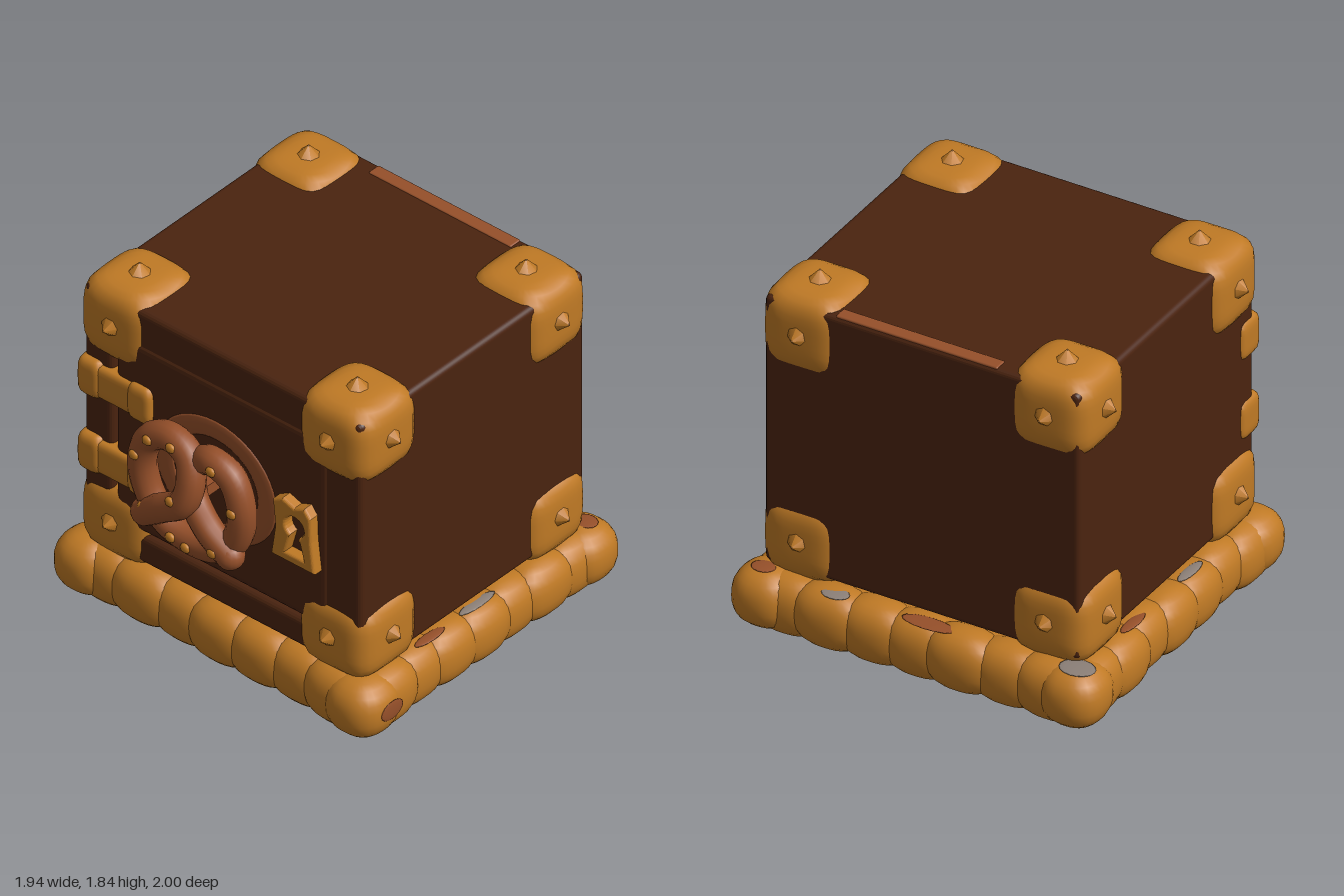
import * as THREE from 'three';
import { mergeVertices } from 'three/addons/utils/BufferGeometryUtils.js';
import { RoundedBoxGeometry } from 'three/addons/geometries/RoundedBoxGeometry.js';

const mat = (name, color) => {
  const m = new THREE.MeshStandardMaterial({ color });
  m.name = name;
  return m;
};

// Sphere pushed towards a box: higher power gives squarer sides
function blobGeometry(hx, hy, hz, power, detail = 20) {
  const g = new THREE.SphereGeometry(1, detail * 2, detail);
  const p = g.attributes.position;
  for (let i = 0; i < p.count; i++) {
    const x = p.getX(i), y = p.getY(i), z = p.getZ(i);
    const sum = Math.abs(x) ** power + Math.abs(y) ** power + Math.abs(z) ** power;
    const k = 1 / sum ** (1 / power);
    p.setXYZ(i, x * k * hx, y * k * hy, z * k * hz);
  }
  g.deleteAttribute('uv');
  g.deleteAttribute('normal');
  const merged = mergeVertices(g, 1e-5);
  merged.computeVertexNormals();
  return merged;
}

// Rounded rectangle outline, as a Shape or a hole Path
function roundRect(Type, x0, y0, x1, y1, r) {
  const s = new Type();
  s.absarc(x1 - r, y0 + r, r, -Math.PI / 2, 0, false);
  s.absarc(x1 - r, y1 - r, r, 0, Math.PI / 2, false);
  s.absarc(x0 + r, y1 - r, r, Math.PI / 2, Math.PI, false);
  s.absarc(x0 + r, y0 + r, r, Math.PI, Math.PI * 1.5, false);
  s.closePath();
  return s;
}

// Extrusion between two z values with a bevel kept inside the outline
function slab(shape, z0, z1, bevel) {
  const g = new THREE.ExtrudeGeometry(shape, {
    depth: z1 - z0 - 2 * bevel, bevelEnabled: true, bevelSize: bevel, bevelThickness: bevel,
    bevelOffset: -bevel, bevelSegments: 4, curveSegments: 10,
  });
  g.translate(0, 0, z0 + bevel);
  return g;
}

export function createModel() {
  const root = new THREE.Group();
  root.name = 'cookieSafe';
  const chocolate = mat('chocolate', 0x4a230f);
  const cookie = mat('cookie', 0xc07a25);
  const crust = mat('crust', 0x96502a);
  const sugar = mat('greySugar', 0x8c8078);

  const add = (name, geometry, material, x = 0, y = 0, z = 0, parent = root) => {
    const m = new THREE.Mesh(geometry, material);
    m.name = name;
    m.position.set(x, y, z);
    parent.add(m);
    return m;
  };

  // Safe body with a raised frame around the door opening
  add('body', slab(roundRect(THREE.Shape, -0.82, 0.325, 0.835, 1.745, 0.03), -0.83, 0.62, 0.025), chocolate);
  const frame = roundRect(THREE.Shape, -0.82, 0.325, 0.835, 1.745, 0.03);
  frame.holes.push(roundRect(THREE.Path, -0.65, 0.48, 0.675, 1.59, 0.15));
  add('doorFrame', slab(frame, 0.5, 0.705, 0.03), chocolate);
  add('door', slab(roundRect(THREE.Shape, -0.63, 0.5, 0.65, 1.57, 0.15), 0.55, 0.715, 0.045), chocolate);
  add('backIcingStrip', new RoundedBoxGeometry(0.85, 0.02, 0.07, 2, 0.008), crust, 0.04, 1.741, -0.785);

  // Cookie caps on all eight corners, each with studs on its outer faces
  const capGeo = blobGeometry(0.21, 0.205, 0.21, 4.5);
  const studGeo = new THREE.ConeGeometry(0.085, 0.09, 7, 1);
  studGeo.translate(0, 0.03, 0);
  const up = new THREE.Vector3(0, 1, 0);
  for (const sx of [-1, 1]) for (const sy of [-1, 1]) for (const sz of [-1, 1]) {
    const cap = new THREE.Group();
    cap.name = 'cornerCap';
    cap.position.set(sx * 0.65 + 0.005, sy > 0 ? 1.58 : 0.475, sz > 0 ? 0.52 : -0.64);
    root.add(cap);
    add('capBlob', capGeo, cookie, 0, 0, 0, cap);
    const dirs = [[sx, 0, 0], [0, 0, sz]];
    if (sy > 0) dirs.push([0, 1, 0]);
    for (const d of dirs) {
      const dir = new THREE.Vector3(...d);
      const stud = add('capStud', studGeo, cookie, d[0] * 0.185, d[1] * 0.185 + (d[1] ? 0 : 0.01), d[2] * 0.185, cap);
      stud.quaternion.setFromUnitVectors(up, dir);
    }
  }

  // Lumpy cookie base: filled slab, ring of dough lumps, larger corner lumps
  const X = 0.81, ZF = 0.665, ZB = -0.835, ZM = (ZF + ZB) / 2;
  add('baseSlab', new THREE.BoxGeometry(1.64, 0.26, 1.52), cookie, 0, 0.15, ZM);
  const lumpX = blobGeometry(0.2, 0.152, 0.13, 2.5, 14);
  const lumpZ = blobGeometry(0.13, 0.152, 0.2, 2.5, 14);
  const cornerLump = blobGeometry(0.158, 0.15, 0.158, 2.5, 14);
  for (let i = 0; i < 7; i++) {
    const t = (i - 3) / 3.5, wob = 0.012 * Math.sin(i * 2.3);
    add('baseLump', lumpX, cookie, t * X, 0.157 + wob * 0.4, ZF - 0.01 + wob);
    add('baseLump', lumpX, cookie, t * X, 0.157 - wob * 0.4, ZB + wob);
    for (const s of [-1, 1]) add('baseLump', lumpZ, cookie, s * (X + wob), 0.157 + s * wob * 0.4, ZM + t * 0.75);
  }
  for (const x of [-X, X]) for (const z of [ZF, ZB]) add('baseCorner', cornerLump, cookie, x, 0.165, z);

  // Thin icing and sugar patches on the base
  const patches = [
    [sugar, -0.83, 0.312, -0.86, 0.09, 0.07], [sugar, 0.43, 0.306, -0.88, 0.07, 0.05],
    [crust, -0.06, 0.306, -0.88, 0.14, 0.05], [crust, 0.82, 0.312, -0.86, 0.06, 0.05],
    [sugar, 0.845, 0.306, -0.08, 0.03, 0.12], [crust, 0.85, 0.306, 0.25, 0.03, 0.1],
    [crust, -0.845, 0.306, -0.4, 0.03, 0.1], [sugar, -0.845, 0.306, 0.1, 0.03, 0.1],
  ];
  for (const [m, x, y, z, a, b] of patches) add('icingPatch', blobGeometry(a, 0.006, b, 2, 8), m, x, y, z);
  add('icingPatch', blobGeometry(0.006, 0.05, 0.075, 2, 8), crust, 0.966, 0.175, 0.64);

  // Two door hinges wrapping the frame edge
  for (const y of [1.245, 0.82]) {
    const hinge = new THREE.Group();
    hinge.name = 'hinge';
    hinge.position.set(0, y, 0.68);
    root.add(hinge);
    add('hingeStrap', blobGeometry(0.2, 0.088, 0.06, 6), cookie, -0.62, 0, 0, hinge);
    add('hingeKnuckle', blobGeometry(0.07, 0.105, 0.085, 5), cookie, -0.765, 0, -0.015, hinge);
    add('hingeEnd', blobGeometry(0.07, 0.1, 0.07, 5), cookie, -0.465, 0, 0, hinge);
  }

  // Lock plate with keyhole
  const plate = new THREE.Shape([[0.35, 0.83], [0.61, 0.83], [0.59, 1.0], [0.585, 1.13], [0.55, 1.175],
    [0.49, 1.15], [0.42, 1.175], [0.36, 1.14], [0.375, 1.0]].map(([x, y]) => new THREE.Vector2(x, y)));
  const key = new THREE.Path();
  key.moveTo(0.435, 0.88);
  key.lineTo(0.545, 0.88);
  key.lineTo(0.515, 0.99);
  key.absarc(0.49, 1.04, 0.056, -1.1, Math.PI + 1.1, false);
  key.lineTo(0.465, 0.99);
  key.closePath();
  plate.holes.push(key);
  add('lockPlate', slab(plate, 0.69, 0.77, 0.015), cookie);

  // Pretzel handle: one rope twisted across the middle
  const rope = [
    [-0.29, 0.82, 0.89], [-0.16, 0.92, 0.92], [-0.03, 1.02, 0.93], [0.0, 1.14, 0.91], [-0.04, 1.25, 0.88],
    [-0.15, 1.295, 0.87], [-0.27, 1.24, 0.87], [-0.325, 1.1, 0.87], [-0.295, 0.92, 0.86], [-0.19, 0.8, 0.86],
    [-0.03, 0.765, 0.86], [0.13, 0.8, 0.86], [0.235, 0.92, 0.86], [0.265, 1.1, 0.87], [0.21, 1.24, 0.87],
    [0.1, 1.28, 0.87], [0.01, 1.23, 0.85], [-0.05, 1.12, 0.85], [-0.03, 1.01, 0.86], [0.1, 0.91, 0.9],
    [0.225, 0.83, 0.9],
  ].map((p) => new THREE.Vector3(...p));
  const curve = new THREE.CatmullRomCurve3(rope);
  const pretzel = new THREE.Group();
  pretzel.name = 'pretzelHandle';
  root.add(pretzel);
  add('pretzelRope', new THREE.TubeGeometry(curve, 140, 0.07, 14), crust, 0, 0, 0, pretzel);
  for (const p of [rope[0], rope[rope.length - 1]])
    add('ropeEnd', new THREE.SphereGeometry(0.07, 16, 12), crust, p.x, p.y, p.z, pretzel);
  add('handlePost', new THREE.BoxGeometry(0.06, 0.06, 0.16), crust, -0.03, 1.02, 0.78, pretzel);

  // Flat crust ring lying on the door behind the handle
  const ring = new THREE.Mesh(new THREE.TorusGeometry(0.3, 0.055, 10, 40), crust);
  ring.name = 'handleBacking';
  ring.scale.set(1.02, 0.93, 0.15);
  ring.position.set(-0.02, 1.03, 0.716);
  pretzel.add(ring);

  // Salt grains
  const grain = blobGeometry(0.026, 0.024, 0.016, 2.5, 7);
  const grains = [[-0.32, 1.15, 0.938], [-0.24, 1.27, 0.938], [-0.06, 1.04, 0.988], [0.17, 0.85, 0.965],
    [-0.02, 0.765, 0.928], [-0.11, 0.78, 0.928], [-0.27, 0.88, 0.938], [0.262, 1.1, 0.938], [0.14, 1.28, 0.938],
    [-0.1, 1.295, 0.938]];
  for (const [x, y, z] of grains) add('saltGrain', grain, cookie, x, y, z, pretzel);

  return root;
}
